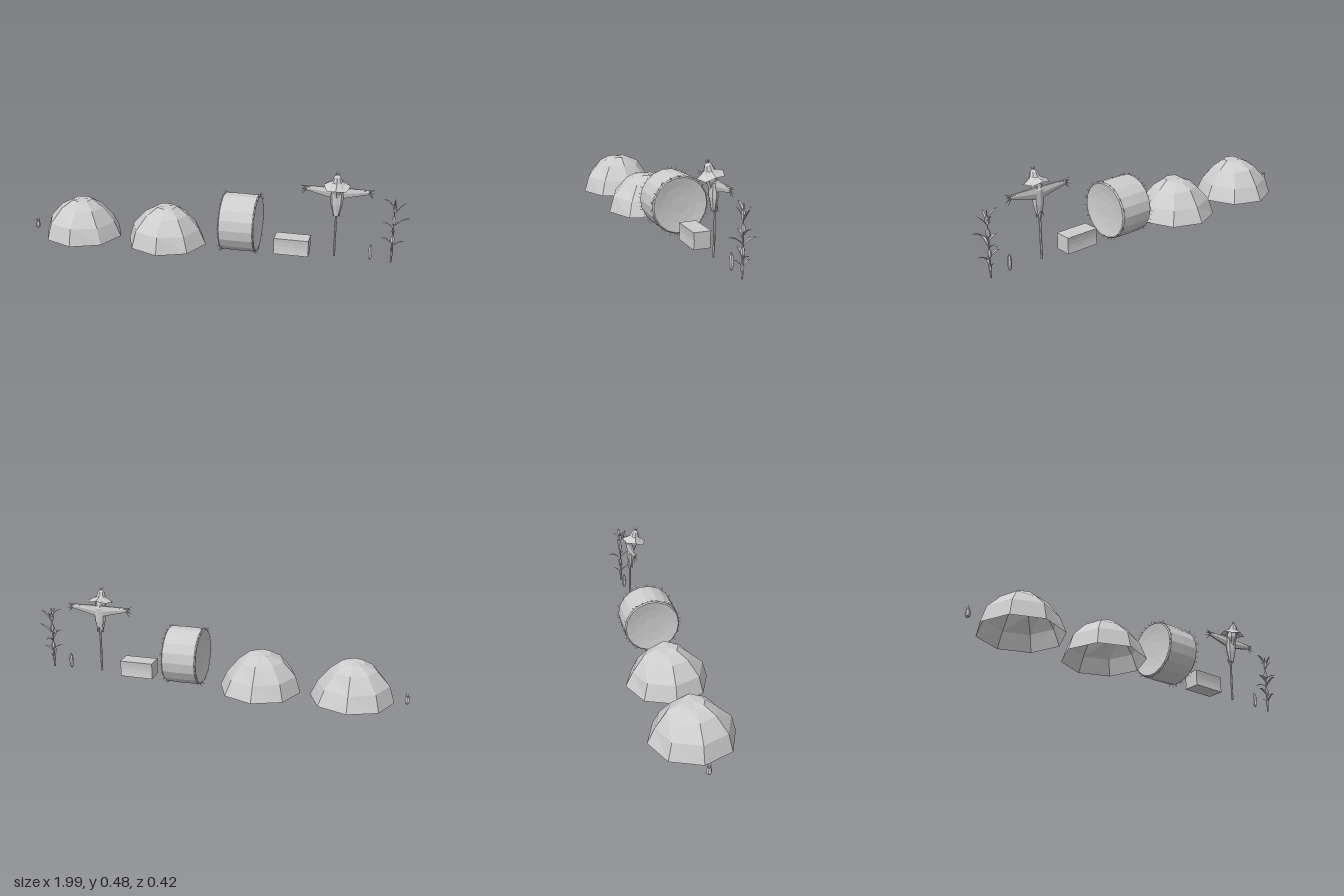
import * as THREE from 'three';

const straw = new THREE.MeshStandardMaterial({ color: 0xcccccc, flatShading: true, side: THREE.DoubleSide });
straw.name = 'pale grey';

function add(parent, name, geo, x = 0, y = 0, z = 0) {
  const m = new THREE.Mesh(geo, straw);
  m.name = name;
  m.position.set(x, y, z);
  parent.add(m);
  return m;
}

function group(parent, name, x = 0, y = 0, z = 0) {
  const g = new THREE.Group();
  g.name = name;
  g.position.set(x, y, z);
  parent.add(g);
  return g;
}

const lathe = (pts, sides) => new THREE.LatheGeometry(pts.map(p => new THREE.Vector2(p[0], p[1])), sides);

// move every vertex by a rule
function warp(geo, rule) {
  const p = geo.attributes.position, v = new THREE.Vector3();
  for (let i = 0; i < p.count; i++) {
    v.fromBufferAttribute(p, i);
    rule(v);
    p.setXYZ(i, v.x, v.y, v.z);
  }
  geo.computeVertexNormals();
  return geo;
}

// thin straw or twig between two points
function stick(parent, name, a, b, r0, r1 = r0, sides = 3) {
  const A = new THREE.Vector3(...a), B = new THREE.Vector3(...b);
  const d = B.clone().sub(A);
  const m = add(parent, name, new THREE.CylinderGeometry(r1, r0, d.length(), sides));
  m.position.copy(A).addScaledVector(d, 0.5);
  m.quaternion.setFromUnitVectors(new THREE.Vector3(0, 1, 0), d.normalize());
  return m;
}

let seed = 7;
const rand = () => (seed = (seed * 16807) % 2147483647) / 2147483647;

// folded blade running along +x, arched upwards
function leafGeometry(len, rise, droop, width) {
  const pos = [], idx = [], n = 6;
  for (let i = 0; i <= n; i++) {
    const t = i / n, w = width * Math.sin(Math.PI * (0.12 + 0.88 * t));
    const y = rise * t - droop * t * t;
    pos.push(len * t, y + w * 0.5, -w, len * t, y, 0, len * t, y + w * 0.5, w);
    if (i < n) for (const c of [0, 1]) {
      const a = i * 3 + c;
      idx.push(a, a + 1, a + 3, a + 1, a + 4, a + 3);
    }
  }
  const g = new THREE.BufferGeometry();
  g.setAttribute('position', new THREE.Float32BufferAttribute(pos, 3));
  g.setIndex(idx);
  g.computeVertexNormals();
  return g;
}

// open-bottomed eight-sided hay heap
function haystack(parent, x) {
  const geo = lathe([[0.209, 0.015], [0.178, 0.097], [0.115, 0.17], [0.055, 0.207], [0, 0.212]], 8);
  warp(geo, v => {
    if (v.y < 0.05 || v.y > 0.21) return;
    const k = 0.006 * Math.sin(v.x * 31 + v.z * 47);
    v.x *= 1 + k * 6;
    v.z *= 1 + k * 6;
    v.y += k;
  });
  add(parent, 'haystack', geo, x);
}

function roundBale(parent) {
  const g = group(parent, 'roundBale', 0.147, 0.159, 0);
  const h = 0.091;
  const body = add(g, 'baleRoll', lathe([
    [0, -h + 0.012], [0.045, -h + 0.012], [0.092, -h + 0.008], [0.14, -h], [0.146, -h + 0.006],
    [0.148, 0], [0.146, h - 0.006], [0.14, h], [0.092, h - 0.008], [0.045, h - 0.012], [0, h - 0.012]], 18));
  body.rotation.z = -Math.PI / 2;
  // loose straws around both rims
  for (const side of [-1, 1]) for (let i = 0; i < 40; i++) {
    const a = (i + rand() * 0.8) / 40 * Math.PI * 2, b = a + (rand() - 0.5) * 0.22;
    const r = 0.15 + rand() * 0.011, x = side * (h - 0.003 - rand() * 0.008);
    stick(g, 'looseStraw', [x, Math.sin(a) * 0.14, Math.cos(a) * 0.14],
      [side * (h + rand() * 0.003), Math.sin(b) * r, Math.cos(b) * r], 0.0018, 0.0008);
  }
}

function squareBale(parent) {
  const geo = new THREE.BoxGeometry(0.176, 0.084, 0.09, 4, 4, 2);
  warp(geo, v => {
    const pinch = 1 - 0.09 * Math.cos(v.y / 0.042 * Math.PI / 2);
    v.z *= pinch;
    v.x += Math.sign(v.x) * 0.003 * Math.sin(v.y * 150);
  });
  add(parent, 'squareBale', geo, 0.413, 0.06, 0);
}

function scarecrow(parent) {
  const g = group(parent, 'scarecrow', 0.627, 0, 0);
  stick(g, 'post', [0, 0.02, 0], [0, 0.37, 0], 0.006, 0.006, 6);
  stick(g, 'crossbar', [-0.165, 0.378, 0], [0.165, 0.378, 0], 0.005, 0.005, 6);
  // coat with ragged hem
  const coat = add(g, 'coat', lathe([[0.014, 0.238], [0.02, 0.262], [0.03, 0.3], [0.032, 0.335], [0.034, 0.37], [0.012, 0.395]], 8), 0, 0, 0.006);
  coat.scale.z = 0.65;
  for (let i = 0; i < 8; i++) {
    const a = i / 8 * Math.PI * 2;
    stick(g, 'hemStraw', [Math.cos(a) * 0.012, 0.265, Math.sin(a) * 0.01],
      [Math.cos(a) * 0.02, 0.232 + (i % 3) * 0.005, Math.sin(a) * 0.017], 0.003, 0.001);
  }
  // hanging sleeves and straw hands
  for (const s of [-1, 1]) {
    const sleeve = new THREE.CylinderGeometry(0.013, 0.032, 0.135, 6, 2, true);
    sleeve.rotateZ(-Math.PI / 2);
    sleeve.scale(s, 1, 0.4);
    warp(sleeve, v => { v.y += (Math.abs(v.x * s + 0.0675) / 0.135) * 0.015; });
    add(g, 'sleeve', sleeve, s * 0.085, 0.356, 0);
    for (let i = 0; i < 6; i++) {
      stick(g, 'handStraw', [s * 0.145, 0.371, 0],
        [s * (0.172 + (i % 3) * 0.004), 0.338 + i * 0.01, (i % 2 - 0.5) * 0.014], 0.0028, 0.001);
    }
  }
  // sack head with a gathered neck
  const head = add(g, 'head', lathe([[0, -0.062], [0.013, -0.05], [0.018, -0.03], [0.029, -0.005], [0.027, 0.02], [0, 0.035]], 7), 0, 0.388, 0.02);
  head.rotation.x = 0.1;
  // floppy pointed hat
  const hatGeo = lathe([[0.066, -0.004], [0.042, 0.009], [0.027, 0.022], [0.017, 0.048], [0, 0.062]], 8);
  warp(hatGeo, v => {
    const r = Math.hypot(v.x, v.z);
    if (r > 0.03) v.y += 0.006 * Math.cos(Math.atan2(v.x, v.z) * 4 + 0.5);
  });
  const hat = group(g, 'hatGroup', 0, 0.403, 0.024);
  hat.rotation.x = 0.22;
  add(hat, 'hat', hatGeo);
  for (let i = 0; i < 5; i++) {
    const a = i * 1.26;
    stick(hat, 'hatStraw', [0, 0.052, 0], [Math.cos(a) * 0.012, 0.072, Math.sin(a) * 0.012], 0.002, 0.0008);
  }
  // straw hair behind the head
  for (let i = 0; i < 7; i++) {
    stick(g, 'hairStraw', [(i - 3) * 0.006, 0.395, 0.004],
      [(i - 3) * 0.008, 0.355 + (i % 3) * 0.012, -0.012], 0.002, 0.001);
  }
}

const cob = (r, h) => lathe([[r * 0.3, 0], [r * 0.85, h * 0.14], [r, h * 0.4], [r * 0.85, h * 0.75], [r * 0.35, h * 0.97], [0, h]], 6);

function cornPlant(parent) {
  const g = group(parent, 'cornPlant', 0.908, 0, 0);
  stick(g, 'stalk', [0, 0.015, 0], [0, 0.345, 0], 0.005, 0.0025, 5);
  // leaves as [height, turn, length, rise, droop, width]
  const leaves = [
    [0.16, 1, 0.075, 0.08, 0.05, 0.008], [0.165, 3, 0.072, 0.085, 0.048, 0.008],
    [0.065, 1, 0.04, 0.06, 0.025, 0.006], [0.065, 3, 0.042, 0.07, 0.03, 0.006],
    [0.28, 1, 0.04, 0.08, 0.03, 0.006], [0.28, 3, 0.042, 0.085, 0.025, 0.006],
    [0.1, 0, 0.06, 0.06, 0.03, 0.008], [0.11, 2, 0.06, 0.07, 0.04, 0.008],
    [0.205, 0, 0.085, 0.09, 0.042, 0.008], [0.19, 2, 0.055, 0.07, 0.04, 0.008],
    [0.27, 0, 0.06, 0.09, 0.025, 0.007], [0.3, 2, 0.06, 0.08, 0.035, 0.007]];
  for (const [y, turn, len, rise, droop, width] of leaves) {
    add(g, 'leaf', leafGeometry(len, rise, droop, width), 0, y, 0).rotation.y = turn * Math.PI / 2;
  }
  // ears on the stalk
  for (const [y, r] of [[0.045, 0.008], [0.115, 0.011], [0.215, 0.011], [0.275, 0.011]]) {
    add(g, 'stalkEar', cob(r, 0.043), 0, y, 0);
  }
}

// small ear with a frayed top
function smallEar(parent) {
  const g = group(parent, 'smallEar', -0.986, 0.016, 0);
  add(g, 'earBody', cob(0.013, 0.043));
  for (let i = 0; i < 6; i++) {
    const a = i * Math.PI / 3;
    stick(g, 'earStraw', [Math.cos(a) * 0.006, 0.036, Math.sin(a) * 0.006],
      [Math.cos(a) * 0.011, 0.047 + (i % 3) * 0.005, Math.sin(a) * 0.011], 0.0015, 0.0006);
  }
}

export function createModel() {
  const root = new THREE.Group();
  root.name = 'farmSet';
  smallEar(root);
  haystack(root, -0.716);
  haystack(root, -0.248);
  roundBale(root);
  squareBale(root);
  scarecrow(root);
  add(root, 'tallEar', cob(0.011, 0.084), 0.805, 0.018, 0);
  cornPlant(root);
  return root;
}
